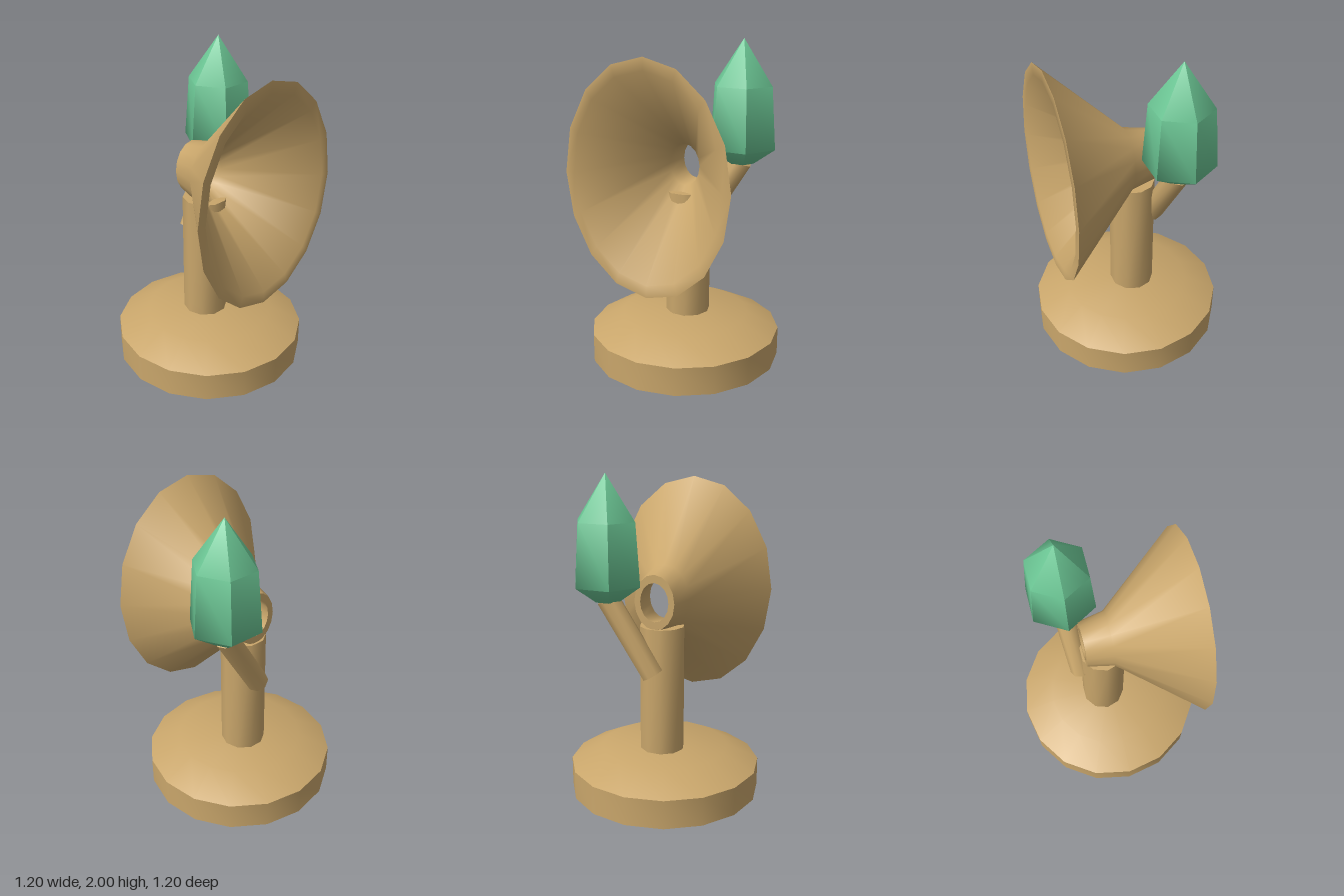
import * as THREE from 'three';
import { toCreasedNormals } from 'three/addons/utils/BufferGeometryUtils.js';

const CREASE = 1.0;

// Revolved solid from [radius, height] pairs, listed bottom to top on the outside
function lathe(profile, sides) {
  return new THREE.LatheGeometry(profile.map(([r, y]) => new THREE.Vector2(r, y)), sides);
}

export function createModel() {
  const model = new THREE.Group();
  const tan = new THREE.MeshStandardMaterial({ color: 0xc9a66b });
  tan.name = 'tan';
  const green = new THREE.MeshStandardMaterial({ color: 0x6cc795 });
  green.name = 'green';

  function add(name, geometry, material) {
    const mesh = new THREE.Mesh(toCreasedNormals(geometry, CREASE), material);
    mesh.name = name;
    model.add(mesh);
    return mesh;
  }

  // Round base with a bevelled top
  add('base', lathe([[0, 0], [0.6, 0], [0.6, 0.18], [0.4, 0.28], [0, 0.28]], 16), tan);

  // Upright post, set slightly back, its top poking into the horn
  const post = new THREE.CylinderGeometry(0.14, 0.14, 0.88, 10);
  post.rotateY(Math.PI / 2);
  post.translate(0, 0.64, -0.04);
  add('post', post, tan);

  // Hollow oval horn: throat tube flaring out to the mouth
  const horn = lathe([
    [0.13, -0.16], [0.16, 0], [0.537, 0.48],
    [0.48, 0.48], [0.1, 0], [0.092, -0.16], [0.13, -0.16],
  ], 16);
  horn.rotateX(Math.PI / 2);
  horn.scale(1, 1.303, 1);
  horn.translate(0, 1.245, 0);
  add('horn', horn, tan);

  // Slanted arm from the back of the post to the crystal
  const from = new THREE.Vector3(0, 0.8, -0.18);
  const to = new THREE.Vector3(0.28, 1.26, -0.22);
  const dir = to.clone().sub(from);
  const arm = add('arm', new THREE.CylinderGeometry(0.07, 0.07, dir.length(), 8), tan);
  arm.position.copy(from).lerp(to, 0.5);
  arm.quaternion.setFromUnitVectors(new THREE.Vector3(0, 1, 0), dir.normalize());

  // Six-sided crystal with a pointed top
  const crystal = lathe([[0, 1.245], [0.08, 1.245], [0.218, 1.345], [0.19, 1.725], [0, 2]], 6);
  crystal.rotateY(Math.PI / 2);
  crystal.translate(0.28, 0, -0.22);
  add('crystal', crystal, green);

  return model;
}
